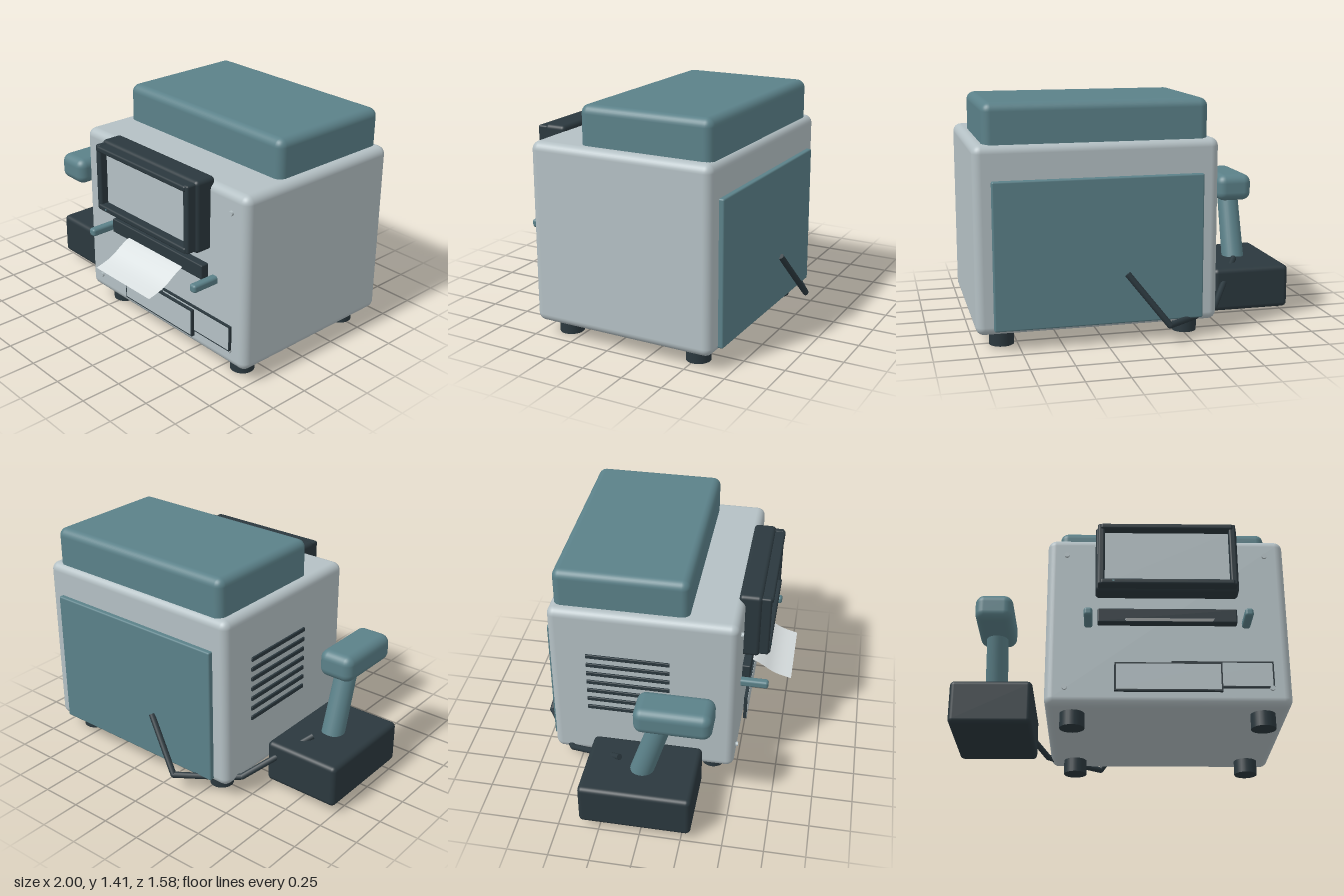
import * as THREE from 'three';
import { RoundedBoxGeometry } from 'three/addons/geometries/RoundedBoxGeometry.js';

export function createModel() {
  const model = new THREE.Group();
  model.name = 'deskTerminal';

  const mat = (name, color) => {
    const m = new THREE.MeshStandardMaterial({ color });
    m.name = name;
    return m;
  };
  const shell = mat('pale grey shell', 0xb4c0c4);
  const teal = mat('muted teal', 0x5b8189);
  const dark = mat('dark slate', 0x2b383e);
  const white = mat('paper white', 0xd9dfe0);
  white.side = THREE.DoubleSide;

  const add = (name, geometry, material) => {
    const mesh = new THREE.Mesh(geometry, material);
    mesh.name = name;
    model.add(mesh);
    return mesh;
  };
  // Rounded box given by its minimum and maximum corners
  const box = (name, material, [x0, y0, z0], [x1, y1, z1], r) => {
    const size = [x1 - x0, y1 - y0, z1 - z0];
    const g = r ? new RoundedBoxGeometry(...size, 4, r) : new THREE.BoxGeometry(...size);
    g.translate((x0 + x1) / 2, (y0 + y1) / 2, (z0 + z1) / 2);
    return add(name, g, material);
  };
  // Cylinder running between two points
  const rod = (name, material, from, to, r0, r1 = r0, sides = 20) => {
    const a = new THREE.Vector3(...from), b = new THREE.Vector3(...to);
    const d = b.clone().sub(a);
    const mesh = add(name, new THREE.CylinderGeometry(r1, r0, d.length(), sides), material);
    mesh.position.copy(a).addScaledVector(d, 0.5);
    mesh.quaternion.setFromUnitVectors(new THREE.Vector3(0, 1, 0), d.normalize());
    return mesh;
  };

  // Cabinet, lid and back panel
  box('cabinet', shell, [-0.43, 0.09, -0.66], [1, 1.18, 0.49], 0.05);
  box('lid', teal, [-0.37, 1.05, -0.63], [0.94, 1.41, 0.19], 0.05);
  box('backPanel', teal, [-0.33, 0.12, -0.69], [0.9, 0.98, -0.64], 0.01);

  // Feet and front screws
  for (const x of [-0.27, 0.84]) {
    for (const z of [0.345, -0.51]) rod('foot', dark, [x, 0, z], [x, 0.11, z], 0.073, 0.073, 28);
  }
  for (const x of [-0.313, 0.882]) {
    for (const y of [0.195, 1.06]) rod('screw', shell, [x, y, 0.48], [x, y, 0.505], 0.015);
  }

  // Display: housing, raised four-bar frame, pane and tiny lamp
  box('displayHousing', dark, [-0.14, 0.772, 0.45], [0.71, 1.21, 0.59], 0.025);
  for (const x of [-0.127, 0.655]) {
    box('displaySideBar', dark, [x, 0.785, 0.57], [x + 0.042, 1.197, 0.645], 0.012);
  }
  for (const y of [0.785, 1.158]) {
    box('displayCrossBar', dark, [-0.11, y, 0.57], [0.68, y + 0.036, 0.653], 0.012);
  }
  box('displayPane', shell, [-0.088, 0.815, 0.588], [0.658, 1.165, 0.596]);
  box('displayLamp', teal, [-0.041, 0.8, 0.65], [-0.029, 0.808, 0.656]);

  // Paper slot with a curled sheet
  box('paperSlot', dark, [-0.125, 0.59, 0.45], [0.695, 0.68, 0.54], 0.008);
  const curl = new THREE.CatmullRomCurve3([
    [0.5, 0.617], [0.55, 0.606], [0.605, 0.575], [0.66, 0.538], [0.71, 0.515], [0.79, 0.492],
  ].map(([z, y]) => new THREE.Vector3(0, y, z)));
  const sheet = new THREE.PlaneGeometry(0.495, 1, 1, 20);
  const p = sheet.attributes.position;
  for (let i = 0; i < p.count; i++) {
    const c = curl.getPoint(0.5 - p.getY(i));
    p.setXYZ(i, p.getX(i) + 0.285, c.y, c.z);
  }
  sheet.computeVertexNormals();
  add('paperSheet', sheet, white);

  // Pegs on either side of the slot
  for (const x of [-0.18, 0.75]) {
    box('peg', teal, [x - 0.025, 0.577, 0.45], [x + 0.025, 0.627, 0.662], 0.016);
  }

  // Two overlapping cards with dark rims
  const card = (x0, y0, x1, y1, z) => {
    box('cardRim', dark, [x0, y0, z - 0.022], [x1, y1, z]);
    box('cardFace', shell, [x0 + 0.009, y0 + 0.009, z - 0.004], [x1 - 0.009, y1 - 0.009, z + 0.002]);
  };
  card(0.305, 0.195, 0.895, 0.357, 0.505);
  card(-0.027, 0.165, 0.595, 0.34, 0.525);

  // Side vents
  for (let i = 0; i < 7; i++) {
    const y = 0.475 + i * 0.0655;
    box('ventSlat', dark, [-0.441, y - 0.013, -0.43], [-0.42, y + 0.013, 0.085], 0.004);
  }

  // Hand controller
  box('controllerBase', dark, [-1, 0.047, -0.374], [-0.51, 0.317, 0.307], 0.03);
  rod('controllerColumn', teal, [-0.752, 0.3, -0.03], [-0.752, 0.72, 0.1], 0.071, 0.066, 28);
  box('controllerGrip', teal, [-0.868, 0.68, -0.06], [-0.64, 0.85, 0.4], 0.055);

  // Cable from controller to back panel
  const path = [
    [-0.705, 0.335, -0.175], [-0.45, 0.125, -0.54], [-0.35, 0.115, -0.605],
    [-0.105, 0.113, -0.77], [0.13, 0.415, -0.695],
  ];
  path.slice(1).forEach((pt, i) => rod('cable', dark, path[i], pt, 0.019, 0.019, 12));
  path.slice(1, -1).forEach((pt) => {
    add('cableBend', new THREE.SphereGeometry(0.019, 12, 8), dark).position.set(...pt);
  });

  return model;
}
